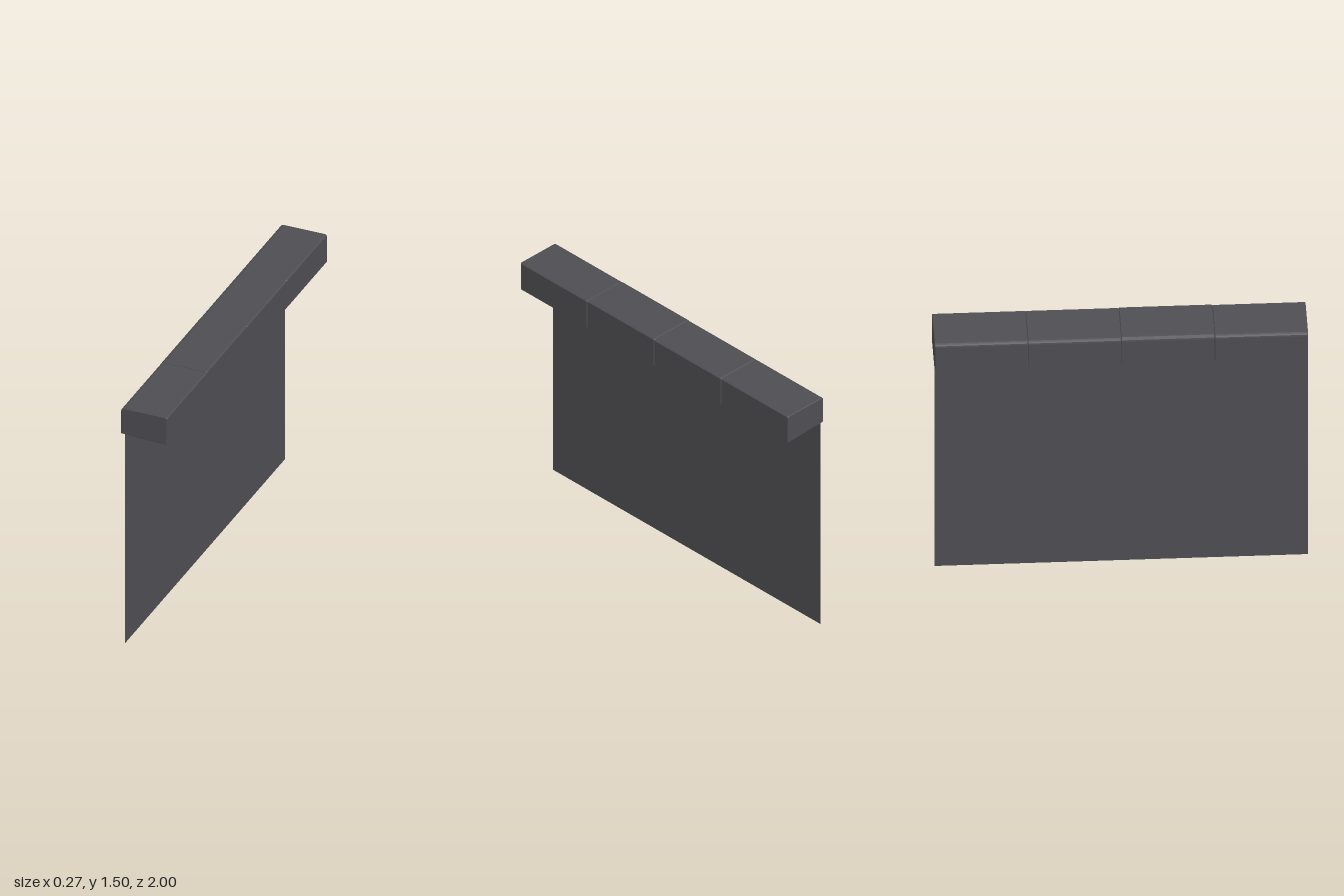
import * as THREE from 'three';

export function createModel() {
  const group = new THREE.Group();
  const stone = new THREE.MeshStandardMaterial({ color: 0x4f4e53 });
  stone.name = 'dark stone';
  const panelStone = new THREE.MeshStandardMaterial({ color: 0x4f4e53, side: THREE.DoubleSide });
  panelStone.name = 'dark stone panel';

  // Thin wall panel below the coping
  const wall = new THREE.Mesh(new THREE.PlaneGeometry(2, 1.33), panelStone);
  wall.name = 'wallPanel';
  wall.rotation.y = Math.PI / 2;
  wall.position.set(-0.112, 0.665, 0);
  group.add(wall);

  // Coping cross-section: sloped top, rounded outer shoulder
  const copingShape = (lift) => {
    const s = new THREE.Shape();
    s.moveTo(-0.137, 1.328);
    s.lineTo(0.137, 1.328);
    s.lineTo(0.137, 1.496 + lift);
    s.lineTo(0.129, 1.502 + lift);
    s.lineTo(-0.112, 1.493 + lift);
    s.quadraticCurveTo(-0.136, 1.492 + lift, -0.137, 1.472);
    s.closePath();
    return s;
  };

  // Four coping blocks with fine bevelled joints
  const bevel = 0.004;
  const lifts = [0, 0, 0.003, 0];
  lifts.forEach((lift, i) => {
    const geometry = new THREE.ExtrudeGeometry(copingShape(lift), {
      depth: 0.5 - 2 * bevel,
      curveSegments: 4,
      bevelEnabled: true,
      bevelThickness: bevel,
      bevelSize: bevel,
      bevelOffset: -bevel,
      bevelSegments: 1,
    });
    const block = new THREE.Mesh(geometry, stone);
    block.name = `copingBlock${i + 1}`;
    block.position.z = -1 + i * 0.5 + bevel;
    group.add(block);
  });

  return group;
}
